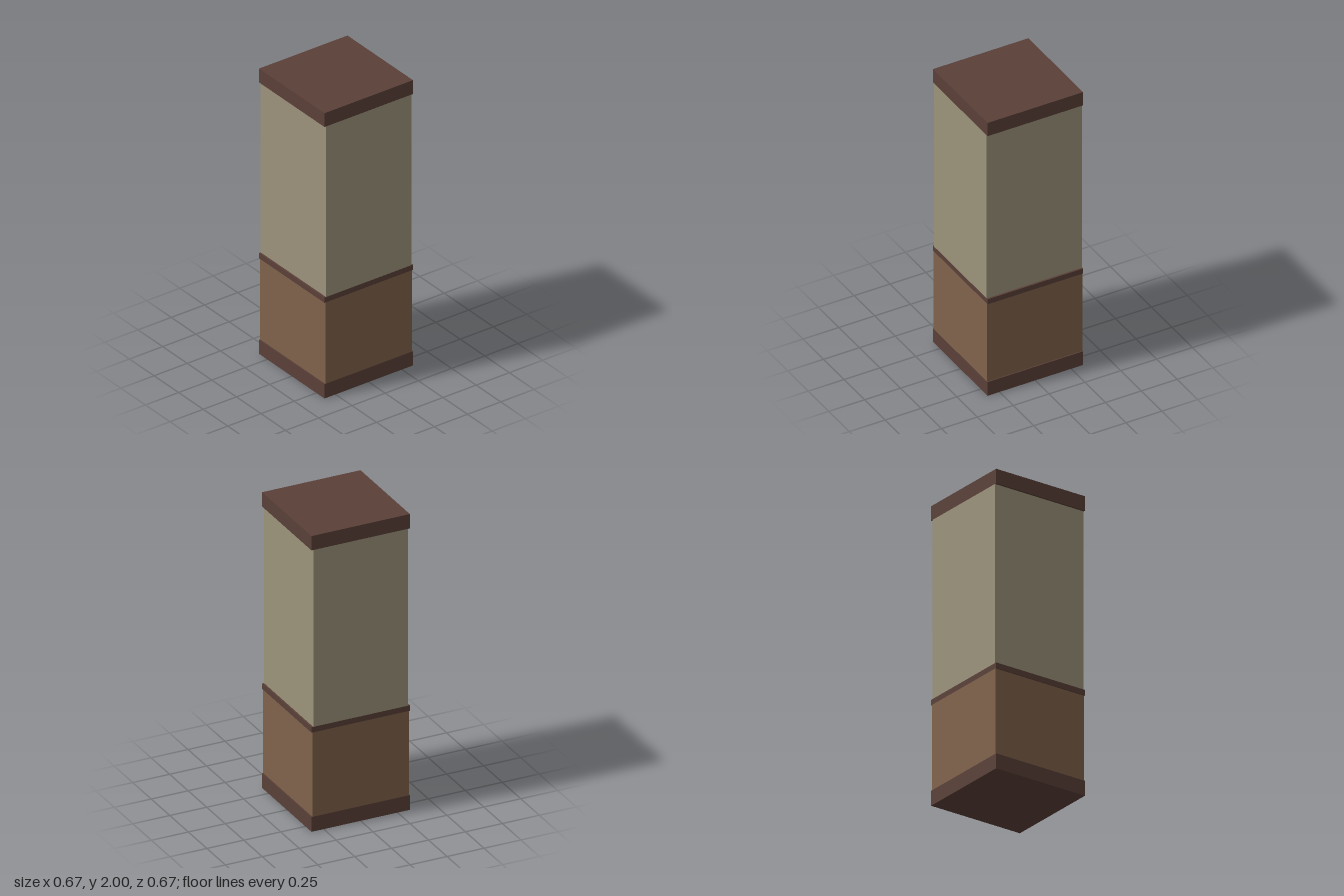
import * as THREE from 'three';

export function createModel() {
  const group = new THREE.Group();
  const material = (name, color) => {
    const m = new THREE.MeshStandardMaterial({ color });
    m.name = name;
    return m;
  };
  const darkWood = material('dark wood', 0x5a4038);
  const panelWood = material('panel wood', 0x80634b);
  const plaster = material('plaster', 0x9c937b);

  const W = 0.666;
  // A full-width block between two heights, with its own depth
  const block = (name, y0, y1, depth, mat) => {
    const mesh = new THREE.Mesh(new THREE.BoxGeometry(W, y1 - y0, depth), mat);
    mesh.name = name;
    mesh.position.y = (y0 + y1) / 2;
    group.add(mesh);
  };

  // Trim bands stand proud of the wall on front and back only
  block('baseboard', 0, 0.1, W, darkWood);
  block('wainscot', 0.1, 0.67, 0.652, panelWood);
  block('chairRail', 0.67, 0.707, W, darkWood);
  block('upperWall', 0.707, 1.903, 0.642, plaster);
  block('crownBand', 1.903, 2, W, darkWood);

  return group;
}
